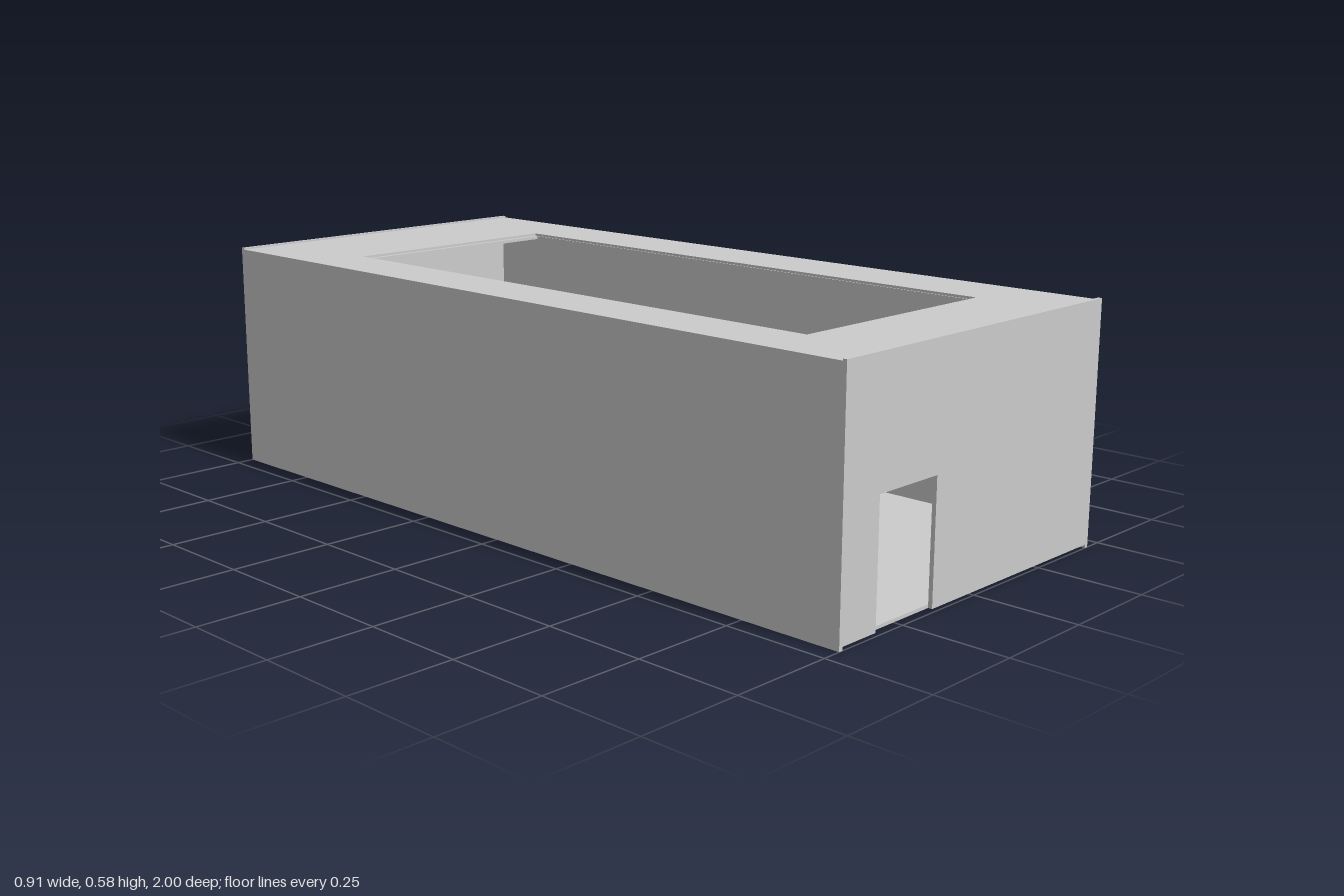
import * as THREE from 'three';

const material = new THREE.MeshStandardMaterial({ color: 0xcccccc, flatShading: true });
const W = 0.455, L = 1, T = 0.01; // half width, half length, wall thickness

export function createModel() {
  const model = new THREE.Group();
  const add = (name, geometry) => {
    const mesh = new THREE.Mesh(geometry, material);
    mesh.name = name;
    model.add(mesh);
    return mesh;
  };
  const box = (name, x0, x1, y0, y1, z0, z1) =>
    add(name, new THREE.BoxGeometry(x1 - x0, y1 - y0, z1 - z0))
      .position.set((x0 + x1) / 2, (y0 + y1) / 2, (z0 + z1) / 2);
  const outline = (Type, x0, x1, y0, y1) => new Type([
    new THREE.Vector2(x0, y0), new THREE.Vector2(x1, y0),
    new THREE.Vector2(x1, y1), new THREE.Vector2(x0, y1),
  ]);
  const extrude = (shape, depth) => new THREE.ExtrudeGeometry(shape, { depth, bevelEnabled: false });

  // Floor, raised slightly between the side walls
  box('floor', -W + T, W - T, 0.008, 0.016, -L + T, L - T);

  // Long side walls, reaching down to the ground
  box('leftWall', W - T, W, 0, 0.572, -L, L);
  box('rightWall', -W, -W + T, 0, 0.572, -L, L);

  // End walls, rising just above the roof
  box('backWall', -W + T, W - T, 0.008, 0.572, -L, -L + T);
  const front = new THREE.Shape();
  [[-0.445, 0.008], [-0.34, 0.008], [-0.34, 0.292], [-0.15, 0.292], [-0.15, 0.008],
    [0.445, 0.008], [0.445, 0.572], [-0.445, 0.572]]
    .forEach(([x, y], i) => (i ? front.lineTo(x, y) : front.moveTo(x, y)));
  add('frontWall', extrude(front, T)).position.z = L - T;
  for (const s of [1, -1]) {
    box(s > 0 ? 'frontCoping' : 'backCoping', -W, W, 0.572, 0.576, s * (L - T / 2) - T / 2, s * (L - T / 2) + T / 2);
  }

  // Roof in two layers, the lower opening leaving a fine ledge (shape y is -z)
  const roofLayer = (name, y, depth, hole) => {
    const shape = outline(THREE.Shape, -W + T, W - T, -L + T, L - T);
    shape.holes.push(outline(THREE.Path, ...hole));
    const mesh = add(name, extrude(shape, depth));
    mesh.rotation.x = -Math.PI / 2;
    mesh.position.y = y;
  };
  roofLayer('roofLower', 0.558, 0.008, [-0.308, 0.283, -0.785, 0.66]);
  roofLayer('roofUpper', 0.566, 0.006, [-0.308, 0.286, -0.785, 0.672]);

  return model;
}
